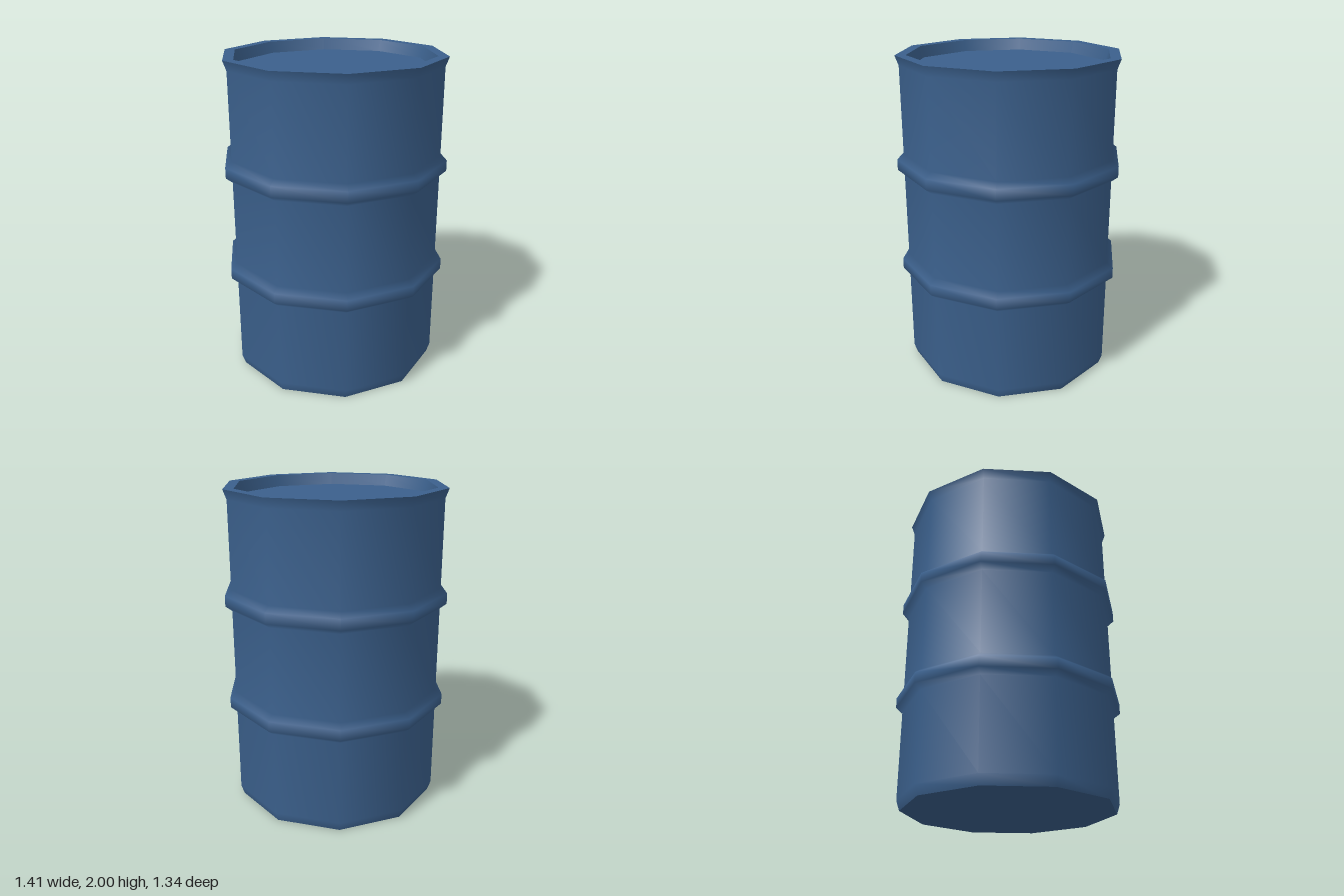
import * as THREE from 'three';

export function createModel() {
  const model = new THREE.Group();
  model.name = 'drum';
  const bluePaint = new THREE.MeshStandardMaterial({ color: 0x3b608c });
  bluePaint.name = 'blue paint';

  // Ten-sided turned part with a corner on +x; separate parts keep edges sharp.
  function turned(name, profile) {
    const points = profile.map(([r, y]) => new THREE.Vector2(r, y));
    const mesh = new THREE.Mesh(new THREE.LatheGeometry(points, 10, Math.PI / 2), bluePaint);
    mesh.name = name;
    model.add(mesh);
  }

  const wall = 0.665, hoop = 0.706;
  // Raised hoop around the wall, centred at height y
  const rib = (y) => [[wall, y - 0.065], [hoop, y - 0.033], [hoop, y + 0.033], [wall, y + 0.065]];

  // Outer wall with two hoops and a flared lip
  turned('wall', [[0.645, 0], [wall, 0.06], ...rib(0.672), ...rib(1.338), [wall, 1.94], [0.687, 2]]);
  turned('bottom', [[0, 0], [0.645, 0]]);

  // Rim and recessed lid
  turned('rim', [[0.687, 2], [0.622, 2]]);
  turned('rimInside', [[0.622, 2], [0.602, 1.93]]);
  turned('lid', [[0.602, 1.93], [0, 1.93]]);

  return model;
}
